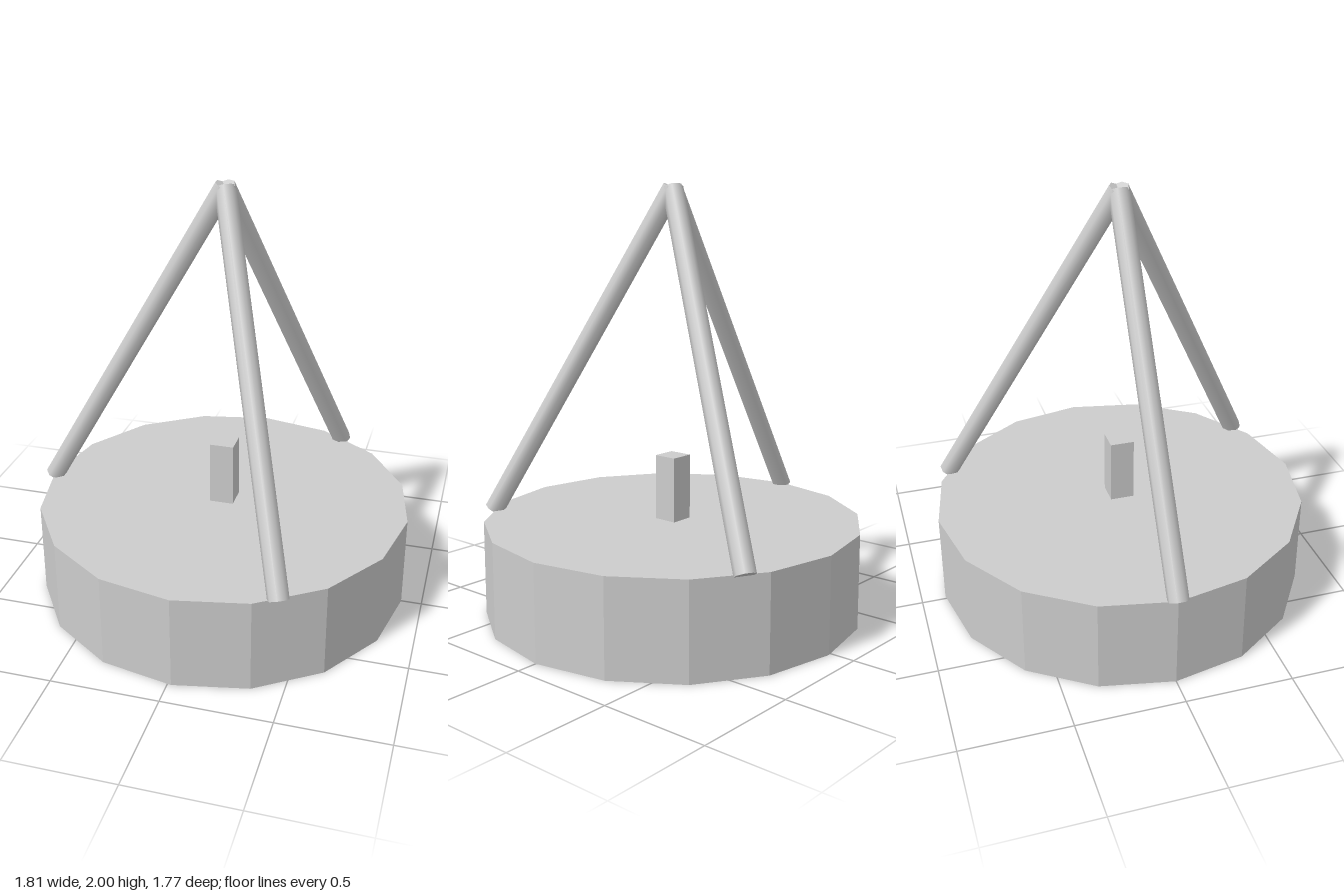
import * as THREE from 'three';

export function createModel() {
  const model = new THREE.Group();
  model.name = 'tripodOnDrum';
  const grey = new THREE.MeshStandardMaterial({ color: 0xcccccc });
  grey.name = 'plain grey';
  const flatGrey = grey; // one colour throughout

  const add = (parent, geometry, name, x, y, z) => {
    const mesh = new THREE.Mesh(geometry, flatGrey);
    mesh.name = name;
    mesh.position.set(x, y, z);
    parent.add(mesh);
    return mesh;
  };

  // All parts share an axis slightly off the centre of the bounds
  const centre = new THREE.Group();
  centre.name = 'centredParts';
  centre.position.x = 0.017;
  model.add(centre);

  // Faceted 16-sided drum base, a corner on the x axis
  const top = 0.445, radius = 0.886;
  const drum = new THREE.CylinderGeometry(radius, radius, top, 16).toNonIndexed();
  drum.computeVertexNormals();
  add(centre, drum, 'drumBase', 0, top / 2, 0);

  // Small square post in the middle
  add(centre, new THREE.BoxGeometry(0.113, 0.305, 0.113), 'centrePost', 0, top + 0.1525, 0);

  // Three rods leaning from the rim to a shared apex
  const reach = 0.883, apex = 1.978, rise = apex - top;
  const rod = new THREE.CylinderGeometry(0.048, 0.048, Math.hypot(reach, rise), 8, 1, false, Math.PI / 8);
  for (let i = 0; i < 3; i++) {
    const arm = new THREE.Group();
    arm.name = 'tripodLeg' + (i + 1);
    arm.rotation.y = (i * Math.PI * 2) / 3;
    centre.add(arm);
    const leg = add(arm, rod, 'legRod', -reach / 2, (top + apex) / 2, 0);
    leg.rotation.z = -Math.atan2(reach, rise);
  }
  return model;
}
